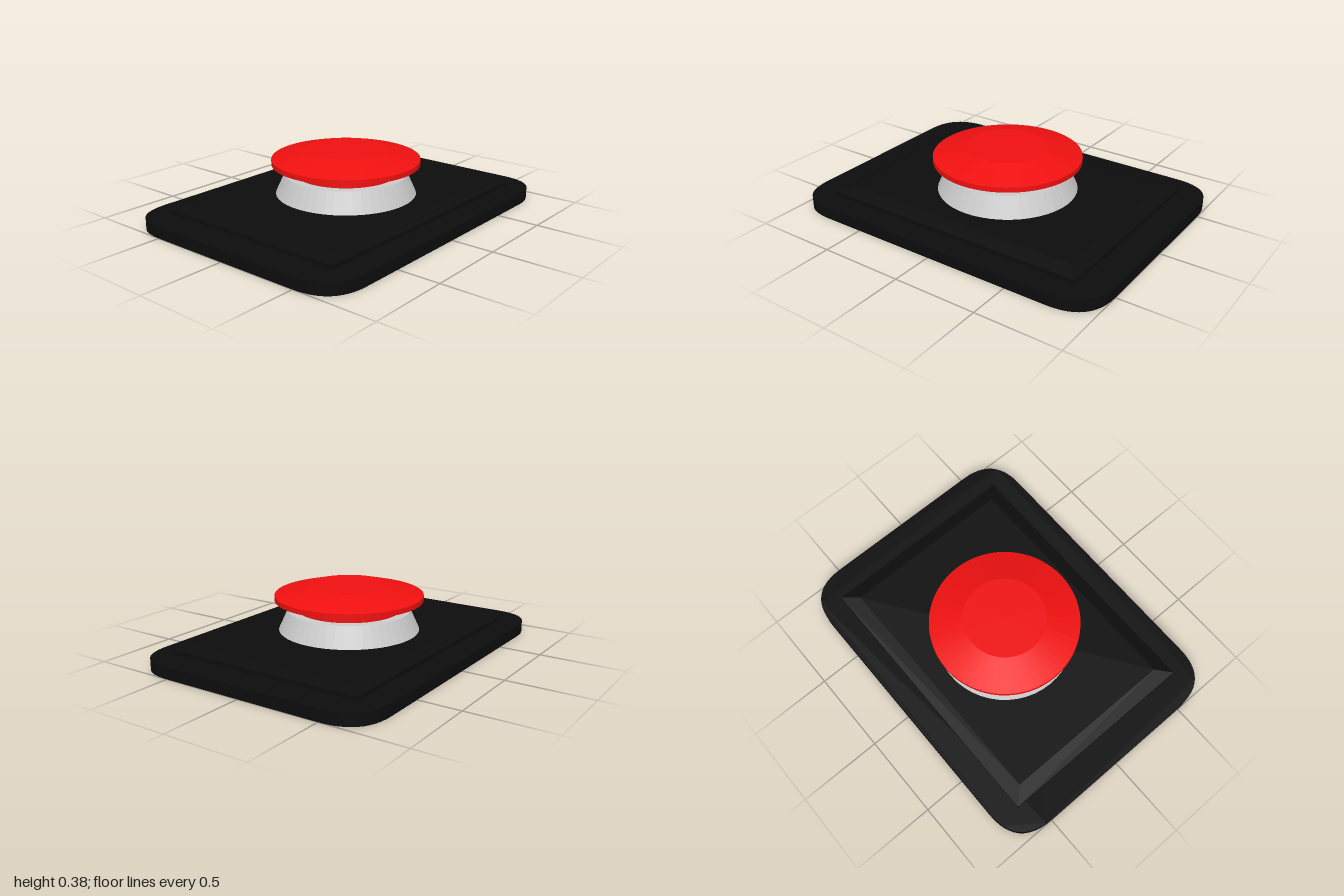
import * as THREE from 'three';

const SEGMENTS = 64;

function addPart(group, name, geometry, color) {
  const material = new THREE.MeshStandardMaterial({ color, flatShading: true });
  const mesh = new THREE.Mesh(geometry, material);
  mesh.name = name;
  group.add(mesh);
  return mesh;
}

// Slab with softly curved corners, lying on y = 0
function roundedSlab(w, d, r, height) {
  const x = w / 2, y = d / 2;
  const s = new THREE.Shape();
  s.moveTo(-x + r, -y);
  s.lineTo(x - r, -y);
  s.quadraticCurveTo(x, -y, x, -y + r);
  s.lineTo(x, y - r);
  s.quadraticCurveTo(x, y, x - r, y);
  s.lineTo(-x + r, y);
  s.quadraticCurveTo(-x, y, -x, y - r);
  s.lineTo(-x, -y + r);
  s.quadraticCurveTo(-x, -y, -x + r, -y);
  const geometry = new THREE.ExtrudeGeometry(s, { depth: height, bevelEnabled: false, curveSegments: 12 });
  return geometry.rotateX(-Math.PI / 2);
}

// Box whose upper half slopes inwards by the given inset
function chamferedPlate(w, h, d, inset) {
  const geometry = new THREE.BoxGeometry(w, h, d, 1, 2, 1);
  const p = geometry.attributes.position;
  for (let i = 0; i < p.count; i++) {
    if (p.getY(i) > h * 0.4) {
      p.setX(i, p.getX(i) - Math.sign(p.getX(i)) * inset);
      p.setZ(i, p.getZ(i) - Math.sign(p.getZ(i)) * inset);
    }
  }
  geometry.computeVertexNormals();
  return geometry;
}

// Turned part from [radius, height] pairs, bottom to top
function turned(profile, segments) {
  return new THREE.LatheGeometry(profile.map(([r, y]) => new THREE.Vector2(r, y)), segments);
}

export function createModel() {
  const model = new THREE.Group();
  model.name = 'pushButton';
  const black = 0x0d0d0d, red = 0xf01010;

  // Base and raised plate
  addPart(model, 'base', roundedSlab(2, 1.5, 0.25, 0.07), black);
  addPart(model, 'raisedPlate', chamferedPlate(1.66, 0.05, 1.215, 0.085), black).position.y = 0.095;

  // Tapered collar around the button
  addPart(model, 'collar', turned([[0, 0.12], [0.415, 0.12], [0.36, 0.24], [0, 0.24]], 48), 0xcccccc);

  // Button: narrow stem under a wide bevelled cap
  addPart(model, 'buttonStem', turned([[0.306, 0.24], [0.306, 0.3]], SEGMENTS), red);
  addPart(model, 'buttonCap', turned(
    [[0, 0.3], [0.437, 0.3], [0.437, 0.33], [0.24, 0.384], [0, 0.384]], SEGMENTS), red);

  return model;
}
